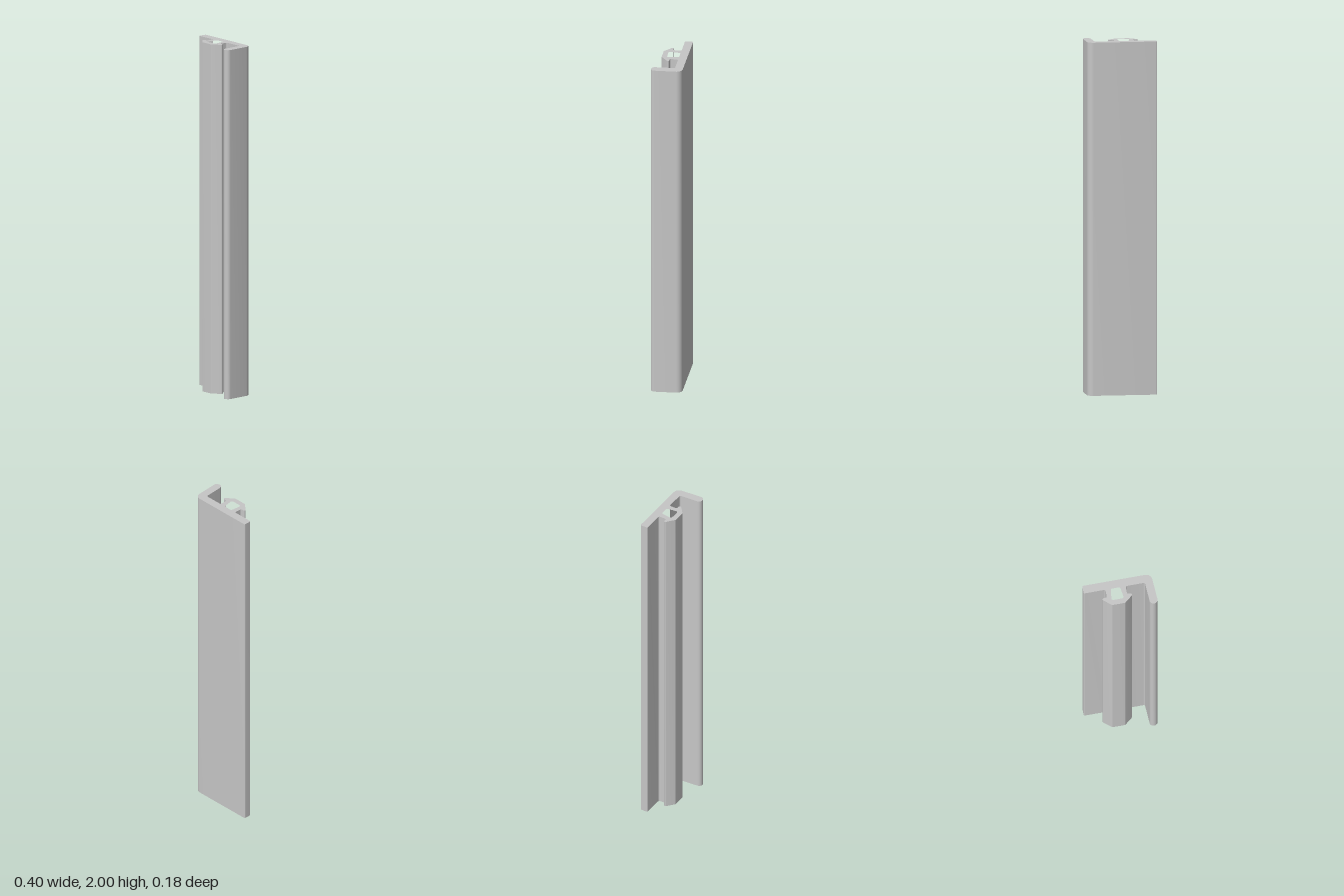
import * as THREE from 'three';
import { toCreasedNormals } from 'three/addons/utils/BufferGeometryUtils.js';

// Corners are [x, z, fillet radius], in hundredths of a unit
const OUTLINE = [
  [-20, -9, 0.6], [19.1, -9, 3.5],                          // back face, outer bend
  [20.05, 8.7, 2.2], [15.5, 8.7, 2.2],                      // rounded lip end
  [14.8, -4.4, 0.8], [3.8, -4.4, 0.8],                      // inside of the channel
  [3.8, 0.3, 0.8], [7.9, 0.3, 0.8],                         // right barb
  [1.8, 5.3, 0.3], [-5.6, 5.3, 0.3],                        // clip nose
  [-11.7, 0.3, 0.8], [-7.7, 0.3, 0.8],                      // left barb
  [-7.7, -4.4, 0.8], [-20, -4.4, 0.6],
];
const CAVITY = [[-4.6, -4.4, 1], [0.7, -4.4, 1], [1.6, 2.4, 1], [-5.5, 2.4, 1]];

// Polygon with a tangent arc at every corner
function filleted(corners, steps = 12) {
  const points = [];
  const n = corners.length;
  const at = (i) => new THREE.Vector2(corners[(i + n) % n][0], -corners[(i + n) % n][1]);
  for (let i = 0; i < n; i++) {
    const p = at(i), r = corners[i][2];
    const a = at(i - 1).sub(p).normalize();
    const b = at(i + 1).sub(p).normalize();
    const half = Math.acos(a.dot(b)) / 2;
    const centre = a.clone().add(b).normalize().multiplyScalar(r / Math.sin(half)).add(p);
    const from = p.clone().addScaledVector(a, r / Math.tan(half)).sub(centre);
    const turn = (Math.PI - 2 * half) * Math.sign(b.cross(a));
    for (let k = 0; k <= steps; k++) {
      points.push(from.clone().rotateAround(new THREE.Vector2(), turn * k / steps).add(centre));
    }
  }
  return points;
}

export function createModel() {
  const group = new THREE.Group();
  group.name = 'trimProfile';
  const grey = new THREE.MeshStandardMaterial({ color: 0xc6c6c6 });
  grey.name = 'grey';

  // Constant section with a hollow clip, extruded upward
  const section = new THREE.Shape(filleted(OUTLINE));
  section.holes.push(new THREE.Path(filleted(CAVITY)));
  let geometry = new THREE.ExtrudeGeometry(section, { depth: 200, bevelEnabled: false });
  geometry = toCreasedNormals(geometry, 0.45);
  geometry.rotateX(-Math.PI / 2);
  geometry.scale(0.01, 0.01, 0.01);

  const strip = new THREE.Mesh(geometry, grey);
  strip.name = 'clipStrip';
  group.add(strip);
  return group;
}
